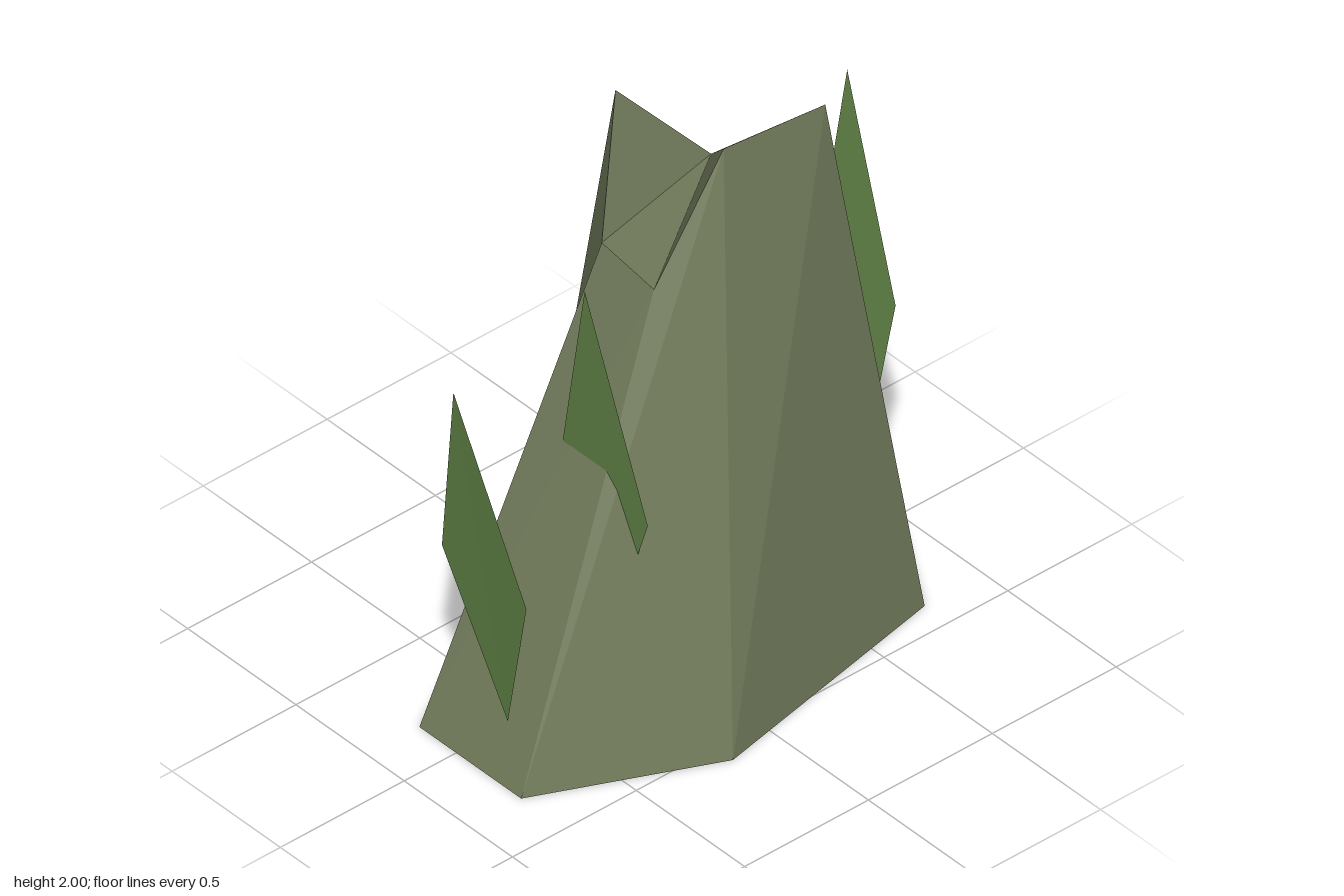
import * as THREE from 'three';

const stone = new THREE.MeshStandardMaterial({ color: 0x707a5a, flatShading: true });
stone.name = 'mossy stone';
const stoneTop = stone;
const leaf = new THREE.MeshStandardMaterial({ color: 0x65884a, side: THREE.DoubleSide, flatShading: true });
leaf.name = 'grass green';

// Flat-sided geometry from a list of triangles of [x, y, z] corners
function fromTriangles(triangles) {
  const geometry = new THREE.BufferGeometry();
  geometry.setAttribute('position', new THREE.Float32BufferAttribute(triangles.flat(2), 3));
  geometry.computeVertexNormals();
  return geometry;
}

function addMesh(group, name, triangles, material) {
  const mesh = new THREE.Mesh(fromTriangles(triangles), material);
  mesh.name = name;
  group.add(mesh);
}

// Triangles fanned out from one corner of a ring
function fan(ring, start) {
  const n = ring.length;
  const at = (i) => ring[(start + i) % n];
  return ring.slice(2).map((_, i) => [at(0), at(i + 1), at(i + 2)]);
}

// Rock outlines, counter-clockwise from above, starting at the front right
const base = [
  [-0.79, 0, 0.3], [-0.18, 0, 0.58], [0.76, 0, 0.39], [0.945, 0, 0.09],
  [0.65, 0, -0.48], [0.03, 0, -0.585], [-0.79, 0, -0.17],
];
const crown = [
  [-0.105, 1.51, 0.13], [0.15, 1.94, 0.16], [0.56, 1.9, 0.16], [0.66, 1.36, -0.02],
  [0.51, 1.46, -0.31], [0.22, 1.79, -0.42], [-0.08, 1.52, -0.14],
];

// Leaf blades: tip, one side, foot, other side
const blades = [
  [[-0.95, 1.57, 0.17], [-0.83, 0.79, 0.37], [-0.73, 0.19, 0.17], [-0.83, 0.81, -0.02]],
  [[-0.42, 1.69, 0.17], [-0.34, 0.86, 0.37], [-0.29, 0.37, 0.17], [-0.35, 0.98, -0.01]],
  [[0.64, 2, 0.17], [0.46, 1.05, 0.17], [0.74, 0.59, 0.17], [0.835, 0.99, 0.17]],
];

export function createModel() {
  const model = new THREE.Group();
  model.name = 'rockWithBlades';

  // Rock body
  const walls = base.flatMap((b, i) => {
    const j = (i + 1) % base.length;
    return [[b, base[j], crown[j]], [b, crown[j], crown[i]]];
  });
  addMesh(model, 'rockWalls', walls, stone);
  addMesh(model, 'rockTop', fan(crown, 4), stoneTop);
  addMesh(model, 'rockUnderside', fan([...base].reverse(), 0), stone);

  // Upright blades around the rock
  blades.forEach((ring, i) => addMesh(model, `leafBlade${i + 1}`, fan(ring, 0), leaf));
  return model;
}
